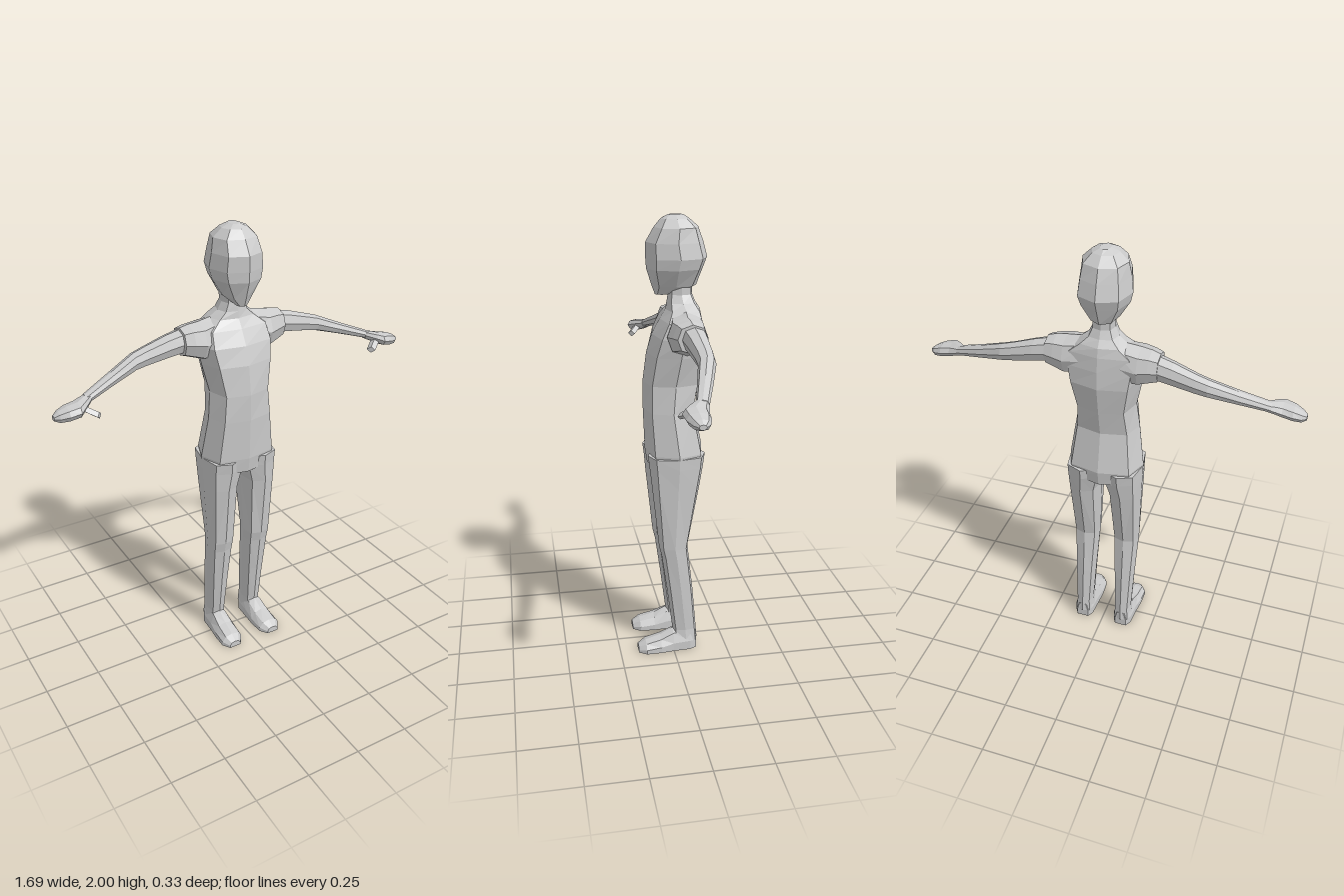
import * as THREE from 'three';

const material = new THREE.MeshStandardMaterial({ color: 0xcccccc, flatShading: true, side: THREE.DoubleSide });

// Skins a closed surface over equal-sized rings of [x, y, z] points and caps both ends
function loft(name, rings) {
  const n = rings[0].length;
  const tris = [];
  for (let r = 0; r < rings.length - 1; r++) {
    for (let i = 0; i < n; i++) {
      const j = (i + 1) % n;
      const a = rings[r][i], b = rings[r][j], c = rings[r + 1][j], d = rings[r + 1][i];
      tris.push([a, b, c], [a, c, d]);
    }
  }
  const first = rings[0], last = rings[rings.length - 1];
  for (let i = 1; i < n - 1; i++) {
    tris.push([first[0], first[i + 1], first[i]], [last[0], last[i], last[i + 1]]);
  }
  // A negative volume means the corners run the wrong way round
  const o = new THREE.Vector3(...first[0]);
  const v = (p) => new THREE.Vector3(...p).sub(o);
  const volume = tris.reduce((s, [a, b, c]) => s + v(a).dot(v(b).cross(v(c))), 0);
  const points = tris.flatMap(([a, b, c]) => (volume < 0 ? [a, c, b] : [a, b, c])).flat();
  const geometry = new THREE.BufferGeometry();
  geometry.setAttribute('position', new THREE.Float32BufferAttribute(points, 3));
  geometry.computeVertexNormals();
  const mesh = new THREE.Mesh(geometry, material);
  mesh.name = name;
  return mesh;
}

// Eight-sided outline; k sets how square the corners are
const outline = (k) => [[0, 1], [k, k], [1, 0], [k, -k], [0, -1], [-k, -k], [-1, 0], [-k, k]];

// Horizontal ring between x0..x1 and zFront..zBack
const level = (y, x0, x1, zf, zb, k = 0.78) => outline(k).map(([u, w]) => [
  (x0 + x1) / 2 + (u * (x1 - x0)) / 2, y, (zf + zb) / 2 + (w * (zf - zb)) / 2]);

// Ring across a limb at x, between y0..y1 and zFront..zBack
const slice = (s, x, y0, y1, zf, zb, k = 0.74) => outline(k).map(([u, w]) => [
  s * x, (y0 + y1) / 2 + (u * (y1 - y0)) / 2, (zf + zb) / 2 + (w * (zf - zb)) / 2]);

export function createModel() {
  const model = new THREE.Group();
  model.name = 'figure';

  // Torso and neck: y, half width, front z, back z
  model.add(loft('torso', [
    [0.91, 0.168, 0.1, -0.14],
    [0.98, 0.172, 0.11, -0.15],
    [1.17, 0.145, 0.117, -0.113],
    [1.29, 0.132, 0.117, -0.135],
    [1.42, 0.16, 0.1, -0.155],
    [1.5, 0.175, 0.075, -0.15],
    [1.565, 0.165, 0.04, -0.143],
    [1.605, 0.105, 0.015, -0.135],
    [1.635, 0.065, 0.01, -0.115],
    [1.67, 0.048, 0.005, -0.1],
    [1.74, 0.048, 0, -0.1],
  ].map(([y, w, f, b]) => level(y, -w, w, f, b))));

  // Head, from chin to crown
  model.add(loft('head', [
    [1.67, 0.022, 0.06, 0.0],
    [1.705, 0.057, 0.073, -0.118],
    [1.78, 0.103, 0.097, -0.148],
    [1.825, 0.114, 0.1, -0.165],
    [1.89, 0.106, 0.1, -0.147],
    [1.95, 0.095, 0.065, -0.125],
    [1.985, 0.058, 0.035, -0.085],
    [2.0, 0.022, 0.005, -0.06],
  ].map(([y, w, f, b]) => level(y, -w, w, f, b, 0.74))));

  for (const s of [1, -1]) {
    const side = s > 0 ? 'left' : 'right';

    // Leg: y, inner x, outer x, front z, back z
    model.add(loft(side + 'Leg', [
      [0.97, 0.0, 0.171, 0.108, -0.148],
      [0.92, 0.0, 0.17, 0.102, -0.142],
      [0.83, 0.025, 0.166, 0.093, -0.125],
      [0.53, 0.037, 0.156, 0.062, -0.07],
      [0.48, 0.04, 0.154, 0.05, -0.075],
      [0.3, 0.05, 0.146, 0.025, -0.095],
      [0.1, 0.06, 0.138, 0.0, -0.112],
      [0.04, 0.055, 0.145, 0.0, -0.117],
    ].map(([y, a, b, f, k]) => level(y, s * a, s * b, f, k))));

    // Foot: z, inner x, outer x, instep height; flat sole with a narrower top
    model.add(loft(side + 'Foot', [
      [-0.11, 0.072, 0.128, 0.09],
      [-0.08, 0.056, 0.146, 0.11],
      [0.0, 0.052, 0.15, 0.1],
      [0.06, 0.049, 0.157, 0.07],
      [0.13, 0.053, 0.158, 0.05],
      [0.165, 0.078, 0.135, 0.03],
    ].map(([z, a, b, h]) => {
      const m = (a + b) / 2, w = (b - a) / 2;
      return [[-1, 0], [1, 0], [1, 0.4], [0.65, 0.85], [0, 1], [-0.65, 0.85], [-1, 0.4]]
        .map(([u, t]) => [s * (m + u * w), t * h, z]);
    })));

    // Shoulder: x, bottom, top, front z, back z
    model.add(loft(side + 'Shoulder', [
      [0.06, 1.44, 1.615, 0.01, -0.13],
      [0.16, 1.435, 1.6, 0.035, -0.138],
      [0.205, 1.45, 1.595, 0.02, -0.13],
      [0.243, 1.463, 1.585, 0.005, -0.122],
    ].map((r) => slice(s, ...r))));

    // Arm down to the wrist
    model.add(loft(side + 'Arm', [
      [0.22, 1.475, 1.58, -0.01, -0.118],
      [0.3, 1.462, 1.56, -0.022, -0.117],
      [0.4, 1.445, 1.527, -0.035, -0.114],
      [0.45, 1.437, 1.511, -0.036, -0.11],
      [0.57, 1.407, 1.461, -0.008, -0.073],
      [0.7, 1.372, 1.41, 0.024, -0.03],
    ].map((r) => slice(s, ...r))));

    // Hand, a flat mitten
    model.add(loft(side + 'Hand', [
      [0.68, 1.376, 1.412, 0.02, -0.034],
      [0.72, 1.358, 1.407, 0.06, -0.025],
      [0.745, 1.346, 1.402, 0.083, -0.02],
      [0.79, 1.337, 1.393, 0.076, -0.019],
      [0.825, 1.334, 1.379, 0.058, -0.008],
      [0.845, 1.343, 1.364, 0.04, 0.01],
    ].map((r) => slice(s, ...r))));

    // Thumb pointing forwards and inwards
    const thumb = [[0.73, 1.378, 0.03], [0.7, 1.36, 0.053], [0.672, 1.345, 0.073]];
    model.add(loft(side + 'Thumb', thumb.map(([x, y, z]) => [[1, 0], [0, 1], [-1, 0], [0, -1]]
      .map(([u, v]) => [s * (x + u * 0.013), y + v * 0.014, z + u * 0.015]))));
  }
  return model;
}
